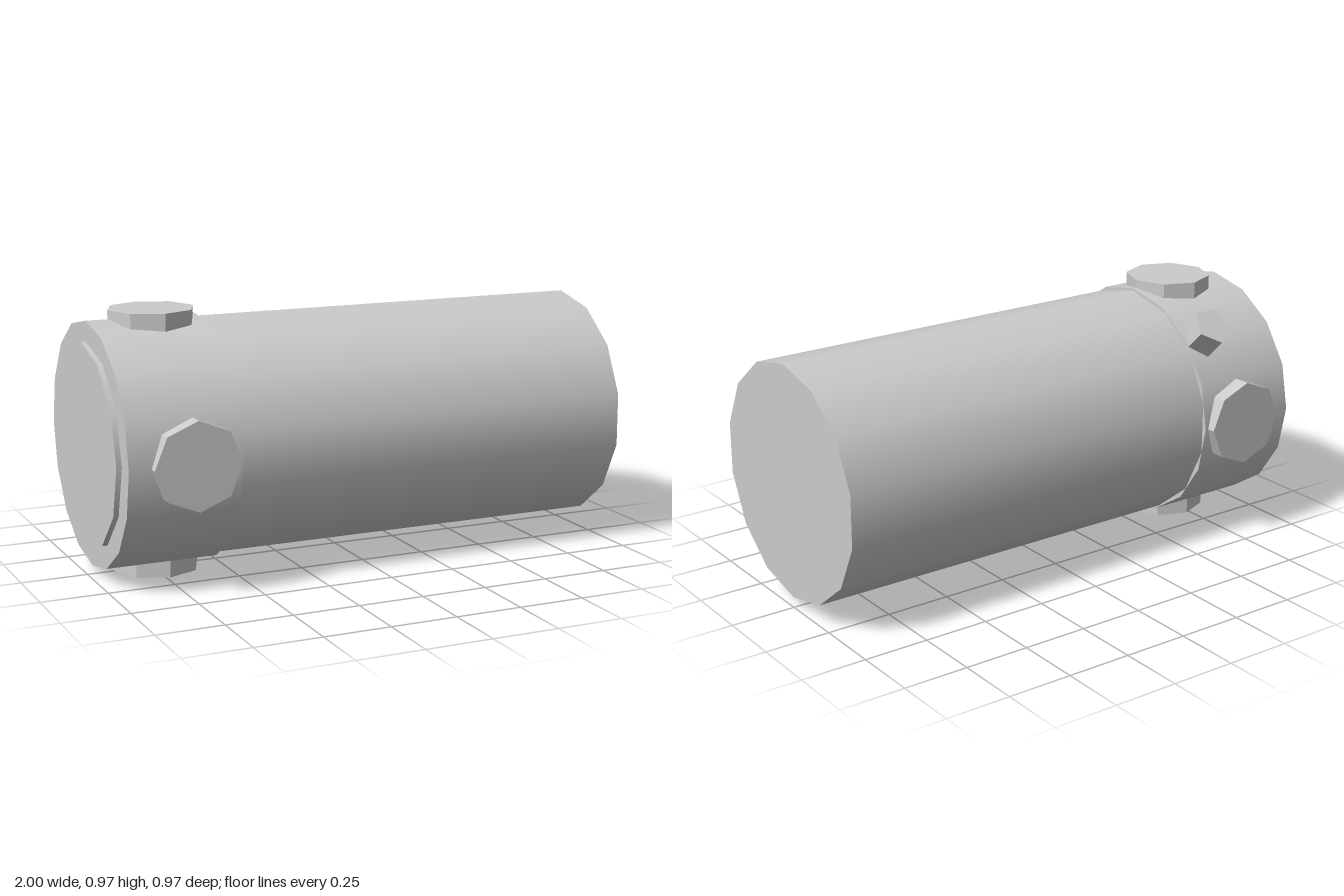
import * as THREE from 'three';

const AXIS_Y = 0.487;

export function createModel() {
  const model = new THREE.Group();
  const smooth = new THREE.MeshStandardMaterial({ color: 0xcccccc });
  const faceted = new THREE.MeshStandardMaterial({ color: 0xcccccc, flatShading: true });

  // Solid drum lying along x, between two stations
  function drum(name, x0, x1, radius, sides) {
    const geo = new THREE.CylinderGeometry(radius, radius, x1 - x0, sides, 1, false, Math.PI / 2);
    geo.rotateZ(-Math.PI / 2);
    const mesh = new THREE.Mesh(geo, smooth);
    mesh.name = name;
    mesh.position.set((x0 + x1) / 2, AXIS_Y, 0);
    model.add(mesh);
  }

  // Faceted stud standing out from the axis, turned by an angle about x
  function stud(name, x, angle, radius, inner, outer, sides, start = 0) {
    const geo = new THREE.CylinderGeometry(radius, radius, outer - inner, sides, 1, false, start);
    geo.translate(0, (inner + outer) / 2, 0);
    const mesh = new THREE.Mesh(geo, faceted);
    mesh.name = name;
    mesh.position.set(x, AXIS_Y, 0);
    mesh.rotation.x = angle;
    model.add(mesh);
  }

  // Long barrel, slightly wider collar and raised end plate
  drum('barrel', -0.56, 1, 0.446, 14);
  drum('collar', -0.98, -0.56, 0.455, 16);
  drum('endPlate', -1, -0.97, 0.38, 12);

  // Four round bosses around the collar
  ['topBoss', 'frontBoss', 'bottomBoss', 'backBoss'].forEach((name, i) =>
    stud(name, -0.735, i * Math.PI / 2, 0.163, 0.38, 0.487, 8));

  // Small pentagonal knob, up and to the back
  stud('knob', -0.637, -Math.PI / 4, 0.078, 0.4, 0.547, 5, Math.PI);

  return model;
}
